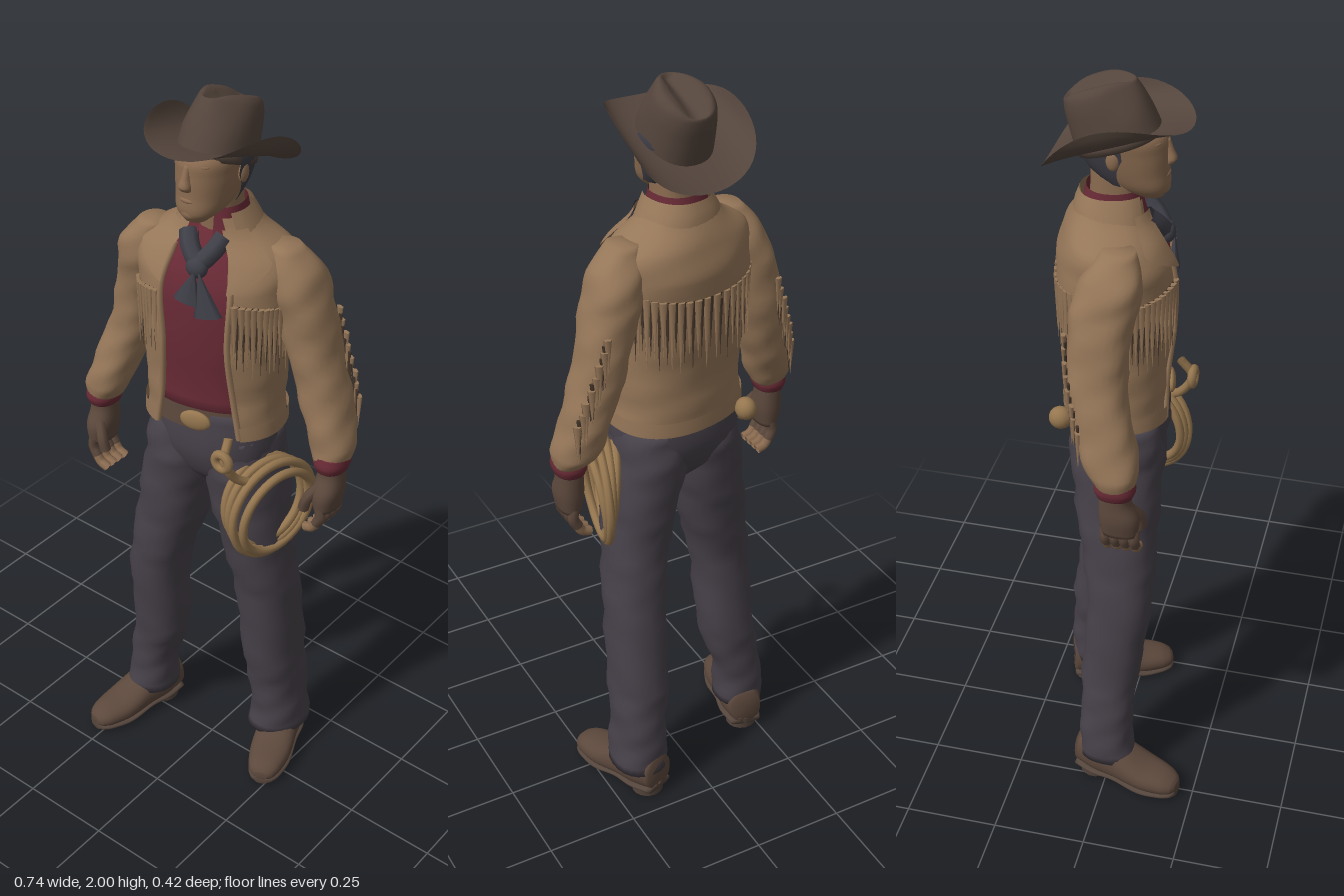
import * as THREE from 'three';
import { mergeGeometries } from 'three/addons/utils/BufferGeometryUtils.js';

const TAU = Math.PI * 2;
const mat = (name, color) => new THREE.MeshStandardMaterial({ name, color, side: THREE.DoubleSide });
const M = {
  jacket: mat('tan suede', 0x957658), shadow: mat('dark fringe', 0x43352a),
  shirt: mat('red cloth', 0x682a35), denim: mat('dark denim', 0x474149),
  hat: mat('hat felt', 0x54453c), skin: mat('skin', 0x8a6b50),
  hair: mat('hair', 0x3c3b43), leather: mat('brown leather', 0x5c483c),
  rope: mat('rope', 0x95764f), scarf: mat('slate scarf', 0x3f3f48),
};

function add(parent, name, geo, material) {
  const m = new THREE.Mesh(geo, material);
  m.name = name;
  parent.add(m);
  return m;
}

// Smoothly interpolated cross-section: rows are [y, cx, cz, rx, rz], rising in y
function section(rows, y) {
  let i = 0;
  while (i < rows.length - 2 && y > rows[i + 1][0]) i++;
  const a = rows[i], b = rows[i + 1], p = rows[i - 1] || a, q = rows[i + 2] || b;
  const h = b[0] - a[0], t = THREE.MathUtils.clamp((y - a[0]) / h, 0, 1), t2 = t * t, t3 = t2 * t;
  return [1, 2, 3, 4].map(k => {
    const ma = (b[k] - p[k]) / (b[0] - p[0]) * h, mb = (q[k] - a[k]) / (q[0] - a[0]) * h;
    return (2 * t3 - 3 * t2 + 1) * a[k] + (t3 - 2 * t2 + t) * ma + (3 * t2 - 2 * t3) * b[k] + (t3 - t2) * mb;
  });
}

// Point on a lofted surface; angle 0 faces +z and turns towards +x
function surf(rows, a, y, grow = 0, wrinkle = 0) {
  const [cx, cz, rx, rz] = section(rows, y), s = Math.sin(a), c = Math.cos(a);
  const k = 1 + wrinkle * (0.6 * Math.sin(y * 38 + 2 * a) + 0.4 * Math.sin(y * 71 - 3 * a));
  const e = v => Math.sign(v) * Math.abs(v) ** 0.88;
  return new THREE.Vector3(cx + e(s) * (rx + grow) * k, y, cz + e(c) * (rz + grow) * k);
}

function loft(rows, { n = 24, from, to, grow = 0, wrinkle = 0, arc } = {}) {
  const ys = [], pos = [], idx = [], w = arc ? n + 1 : n;
  if (from !== undefined) for (let i = 0; i <= 10; i++) ys.push(from + (to - from) * i / 10);
  else rows.forEach((r, i) => {
    if (i) for (let k = 1; k <= 5; k++) ys.push(rows[i - 1][0] + (r[0] - rows[i - 1][0]) * k / 5);
    else ys.push(r[0]);
  });
  ys.forEach((y, i) => {
    const [a0, a1] = arc ? arc(y) : [0, TAU];
    for (let j = 0; j < w; j++) pos.push(...surf(rows, a0 + (a1 - a0) * j / n, y, grow, wrinkle).toArray());
    if (i) for (let j = 0; j < n; j++) {
      const a = (i - 1) * w + j, b = (i - 1) * w + (j + 1) % w;
      idx.push(a, b, b + w, a, b + w, a + w);
    }
  });
  if (!arc) [0, ys.length - 1].forEach(i => {
    const [cx, cz] = section(rows, ys[i]), c = pos.length / 3;
    pos.push(cx, ys[i], cz);
    for (let j = 0; j < n; j++) {
      const a = i * w + j, b = i * w + (j + 1) % w;
      i ? idx.push(c, a, b) : idx.push(c, b, a);
    }
  });
  const g = new THREE.BufferGeometry();
  g.setAttribute('position', new THREE.Float32BufferAttribute(pos, 3));
  g.setIndex(idx);
  g.computeVertexNormals();
  return g;
}

const tube = (pts, r, seg = 12) => new THREE.TubeGeometry(
  new THREE.CatmullRomCurve3(pts.map(p => new THREE.Vector3(...p))), seg, r, 7);
const ball = (x, y, z, sx, sy, sz) => new THREE.SphereGeometry(1, 16, 12).scale(sx, sy, sz).translate(x, y, z);

// Hanging strands, alternating suede and dark gaps: list holds [angle, top, length]
function fringe(parent, name, rows, list) {
  const sets = [[], []];
  list.forEach(([a, top, len], i) => {
    const p = surf(rows, a, top - len / 2, i % 2 ? 0.002 : 0.006);
    sets[i % 2].push(new THREE.ConeGeometry(i % 2 ? 0.007 : 0.011, len, 5).rotateX(Math.PI).scale(1, 1, 0.6)
      .rotateY(a).translate(p.x, p.y, p.z));
  });
  add(parent, name, mergeGeometries(sets[0]), M.jacket);
  add(parent, name + 'Gaps', mergeGeometries(sets[1]), M.shadow);
}
const spread = (a0, a1, n, f) => Array.from({ length: n }, (_, i) => {
  const t = i / (n - 1);
  return [a0 + (a1 - a0) * t, ...f(t, i)];
});

function buildTorso(root) {
  const g = new THREE.Group();
  g.name = 'torso';
  g.position.z = -0.02;
  g.rotation.y = 0.25;
  root.add(g);
  const coat = [[1.14, 0, 0, .18, .137], [1.25, 0, 0, .178, .134], [1.4, 0, 0, .188, .145],
    [1.55, 0, -.005, .2, .145], [1.62, 0, -.015, .185, .12], [1.67, 0, -.02, .115, .09], [1.71, 0, -.015, .08, .075]];
  const open = y => 0.42 + Math.max(0, 1.36 - y) * 0.9;
  const arc = y => [open(y), TAU - open(y)];
  add(g, 'shirt', loft(coat, { from: 1.18, to: 1.69, grow: -0.014, wrinkle: 0.012 }), M.shirt);
  add(g, 'belt', loft(coat, { from: 1.15, to: 1.21, grow: -0.006, arc: () => [-0.95, 0.95] }), M.leather);
  add(g, 'buckle', ball(0, 1.178, .133, .042, .028, .012), M.rope);
  add(g, 'jacket', loft(coat, { n: 40, arc, wrinkle: 0.02 }), M.jacket);
  add(g, 'jacketHem', loft(coat, { n: 40, from: 1.135, to: 1.175, grow: 0.006, arc }), M.jacket);
  for (const s of [-1, 1]) {
    const edge = [1.14, 1.25, 1.4, 1.55, 1.64].map(y => surf(coat, s * open(y), y).toArray());
    add(g, 'jacketFrontEdge', tube(edge, 0.008, 24), M.jacket);
    // Lapel narrows to a point on the chest
    add(g, 'lapel', loft(coat, { n: 6, from: 1.56, to: 1.69, grow: 0.014, arc: y => {
      const a = s * 0.36, b = s * (0.4 + 0.6 * Math.min(1, (y - 1.56) / 0.06));
      return s > 0 ? [a, b] : [b, a];
    } }), M.jacket);
    fringe(g, 'chestFringe', coat, spread(s * 0.5, s * 1.45, 21, (t, i) => [1.53 - 0.03 * t, 0.17 + 0.03 * Math.sin(i * 2.3)]));
  }
  fringe(g, 'backFringe', coat, spread(1.75, TAU - 1.75, 45,
    (t, i) => [1.54 - 0.035 * Math.sin(t * Math.PI), 0.17 + 0.03 * Math.sin(i * 2.3)]));
  const collar = [[1.64, 0, -.015, .125, .1], [1.69, 0, -.015, .098, .09], [1.725, 0, -.012, .078, .08]];
  add(g, 'jacketCollar', loft(collar, { arc: () => [0.75, TAU - 0.75] }), M.jacket);
  const neckband = [[1.64, 0, 0, .078, .085], [1.69, 0, -.01, .073, .076], [1.735, 0, -.01, .066, .066]];
  add(g, 'shirtCollar', loft(neckband, { arc: () => [0.2, TAU - 0.2] }), M.shirt);
  // Neckerchief with knot and two uneven tails
  add(g, 'neckerchief', tube([[-.045, 1.67, .065], [-.028, 1.64, .092], [0, 1.615, .108], [.028, 1.64, .092], [.045, 1.67, .065]], 0.024, 24), M.scarf);
  add(g, 'neckerchiefKnot', ball(0, 1.605, .118, .028, .028, .02), M.scarf);
  for (const [s, len] of [[-1, .09], [1, .12]]) add(g, 'neckerchiefTail', new THREE.ConeGeometry(0.038, len, 8).scale(1, 1, 0.36)
    .rotateZ(s * 0.2).translate(s * 0.016 + .008, 1.605 - len / 2, .135), M.scarf);
}

function buildArm(root, s, zs) {
  const g = new THREE.Group();
  g.name = s > 0 ? 'leftArm' : 'rightArm';
  root.add(g);
  const shape = [[1.09, .322, .043, .048], [1.13, .314, .055, .065], [1.22, .287, .06, .07], [1.35, .247, .063, .072],
    [1.5, .21, .068, .078], [1.58, .188, .066, .074], [1.645, .165, .035, .04]];
  const rows = shape.map(([y, x, rx, rz], i) => [y, s * x, zs[i], rx, rz]);
  add(g, 'sleeve', loft(rows, { wrinkle: 0.06 }), M.jacket);
  fringe(g, 'sleeveFringe', rows, spread(s * 2.8, s * 2.5, 15, (t, i) => [1.46 - 0.22 * t, 0.1 + 0.02 * Math.sin(i * 2)]));
  const x = s * 0.325, z = zs[0];
  add(g, 'shirtCuff', loft([[1.065, x, z, .037, .045], [1.085, x, z, .043, .052], [1.11, x, z, .04, .046]]), M.shirt);
  add(g, 'glovePalm', loft([[.95, x, z + .012, .027, .046], [1, x, z + .01, .036, .05], [1.045, x, z, .034, .04], [1.08, x, z, .033, .038]]), M.leather);
  const inward = d => x - s * d;
  for (let i = 0; i < 4; i++) {
    const fz = z - 0.024 + i * 0.024;
    add(g, 'gloveFinger', tube([[x, .965, fz], [inward(-.004), .935, fz], [inward(.008), .91, fz]], 0.0145), M.leather);
    add(g, 'fingertip', tube([[inward(.006), .913, fz], [inward(.02), .893, fz], [inward(.042), .885, fz]], 0.013), M.skin);
  }
  add(g, 'thumb', tube([[inward(.01), 1.02, z + .035], [inward(.035), .98, z + .055], [inward(.045), .945, z + .055]], 0.015), M.leather);
}

function buildLeg(root, name, rows, heel, yaw) {
  const g = new THREE.Group();
  g.name = name;
  root.add(g);
  add(g, 'trouserLeg', loft(rows, { wrinkle: 0.06 }), M.denim);
  const boot = new THREE.Group();
  boot.name = 'boot';
  boot.position.set(heel[0], 0, heel[1]);
  boot.rotation.y = yaw;
  g.add(boot);
  // Boot sections run from heel to toe
  const upper = [[0, 0, -.078, .044, .052], [.06, 0, -.08, .058, .066], [.12, 0, -.068, .056, .057],
    [.2, 0, -.047, .058, .038], [.26, 0, -.04, .047, .03], [.287, 0, -.036, .033, .021], [.297, 0, -.034, .018, .012]];
  const sole = upper.map(([t, x, , w], i) => [t, x, i < 3 ? -.03 : -.015, w, .011]);
  add(boot, 'bootUpper', loft(upper).rotateX(Math.PI / 2), M.leather);
  add(boot, 'bootSole', loft(sole).rotateX(Math.PI / 2), M.hat);
  add(boot, 'bootHeel', new THREE.CylinderGeometry(.047, .044, .036, 16).translate(0, .018, .045), M.hat);
}

function buildHead(root) {
  const g = new THREE.Group();
  g.name = 'head';
  root.add(g);
  add(g, 'neck', loft([[1.6, 0, -.03, .065, .065], [1.7, 0, -.025, .058, .062], [1.8, 0, -.02, .056, .065]]), M.skin);
  const skull = [[1.715, .003, .06, .028, .03], [1.74, .003, .04, .054, .064], [1.78, .003, .012, .067, .09],
    [1.83, .003, -.003, .074, .104], [1.875, .003, -.01, .074, .102], [1.915, .003, -.025, .04, .055]];
  add(g, 'face', loft(skull, { n: 32 }), M.skin);
  add(g, 'hair', loft(skull, { from: 1.755, to: 1.9, grow: 0.008, arc: y => {
    const a = 1.5 + Math.max(0, 1.83 - y) * 4.5;
    return [a, TAU - a];
  } }), M.hair);
  add(g, 'nose', loft([[1.799, .003, .1, .015, .012], [1.81, .003, .104, .016, .016], [1.83, .003, .1, .011, .013], [1.86, .003, .094, .008, .008]], { n: 12 }), M.skin);
  add(g, 'chin', ball(.003, 1.738, .088, .026, .018, .017), M.skin);
  add(g, 'lips', ball(.003, 1.772, .096, .022, .008, .009), M.skin);
  add(g, 'browRidge', ball(.003, 1.86, .076, .052, .01, .02), M.skin);
  for (const s of [-1, 1]) add(g, 'ear', ball(.003 + s * .077, 1.825, -.015, .01, .026, .017), M.skin);

  const hat = new THREE.Group();
  hat.name = 'hat';
  hat.position.set(0, 1.866, -0.014);
  hat.rotation.x = -0.33;
  g.add(hat);
  // Brim droops at front and back, rolls up at both sides and narrows to the front
  const brim = new THREE.RingGeometry(.066, .186, 56, 10).rotateX(-Math.PI / 2);
  const p = brim.attributes.position;
  for (let i = 0; i < p.count; i++) {
    const x = p.getX(i), z = p.getZ(i), out = Math.max(0, (Math.hypot(x, z) - .066) / .12);
    p.setX(i, .165 * Math.sin(x / .142) * (1 - .08 * out * z / .186));
    p.setY(i, .066 * (x / .186) ** 2 * out - .024 * (z / .186) ** 2);
    p.setZ(i, z - .011 * out);
  }
  brim.computeVertexNormals();
  add(hat, 'hatBrim', brim, M.hat);
  // Crown is pinched at the front and creased along the top
  const crown = loft([[-.02, 0, -.008, .086, .106], [.05, 0, -.01, .081, .1], [.103, 0, -.012, .074, .092],
    [.128, 0, -.012, .06, .078], [.137, 0, -.012, .035, .05], [.139, 0, -.012, .004, .005]], { n: 36 });
  const c = crown.attributes.position;
  for (let i = 0; i < c.count; i++) {
    const x = c.getX(i), y = c.getY(i), z = c.getZ(i), top = THREE.MathUtils.smoothstep(y, .03, .13);
    c.setX(i, x * (1 - top * 0.45 * Math.max(0, z) / .09));
    c.setY(i, y - THREE.MathUtils.smoothstep(y, .112, .137) * .032 * Math.exp(-((x / .032) ** 2)));
  }
  crown.computeVertexNormals();
  add(hat, 'hatCrown', crown, M.hat);
}

export function createModel() {
  const root = new THREE.Group();
  root.name = 'rancher';
  buildTorso(root);
  buildArm(root, -1, [.05, .042, .015, -.012, -.005, .01, .02]);
  buildArm(root, 1, [-.075, -.092, -.1, -.1, -.09, -.08, -.07]);
  buildHead(root);

  // Trousers and boots
  add(root, 'hips', loft([[.945, .003, -.018, .03, .055], [1, .003, -.018, .14, .1], [1.08, 0, -.018, .172, .125], [1.2, 0, -.018, .16, .12]]), M.denim);
  buildLeg(root, 'rightLeg', [[.085, -.222, 0, .068, .078], [.2, -.215, -.005, .066, .07], [.35, -.18, 0, .076, .078],
    [.6, -.163, .022, .078, .086], [.8, -.122, .008, .092, .102], [1, -.088, -.005, .095, .118], [1.12, -.08, -.01, .085, .11]], [-.208, -.08], -.22);
  buildLeg(root, 'leftLeg', [[.085, .163, -.108, .076, .096], [.2, .16, -.108, .07, .088], [.35, .15, -.092, .076, .096],
    [.6, .143, -.063, .079, .094], [.8, .122, -.035, .086, .104], [1, .09, -.03, .096, .12], [1.12, .08, -.025, .085, .11]], [.14, -.195], .35);
  add(root, 'beltPouch', ball(-.145, 1.14, -.135, .027, .03, .03), M.rope);

  // Coiled rope hanging from the belt
  const coil = new THREE.Group();
  coil.name = 'coiledRope';
  coil.position.set(.195, .93, .005);
  coil.rotation.y = Math.PI / 2 - 0.28;
  root.add(coil);
  for (let i = 0; i < 4; i++) {
    const loop = add(coil, 'ropeLoop', new THREE.TorusGeometry(.115 + .007 * (i % 3), .0115, 8, 40), M.rope);
    loop.position.set(.005 * (i - 1.5), -.008 * i + .01, .014 * (i - 1.5));
    loop.rotation.set(.07 * (i - 1.5), .05 * (i - 1.5), 0);
    loop.scale.y = 1.08;
  }
  add(root, 'ropeHanger', tube([[.14, 1.17, .11], [.15, 1.12, .14], [.16, 1.06, .11], [.18, 1.03, .07]], .012), M.rope);
  add(root, 'ropeKnot', new THREE.TorusGeometry(.021, .012, 8, 18).translate(.145, 1.12, .143), M.rope);
  return root;
}
